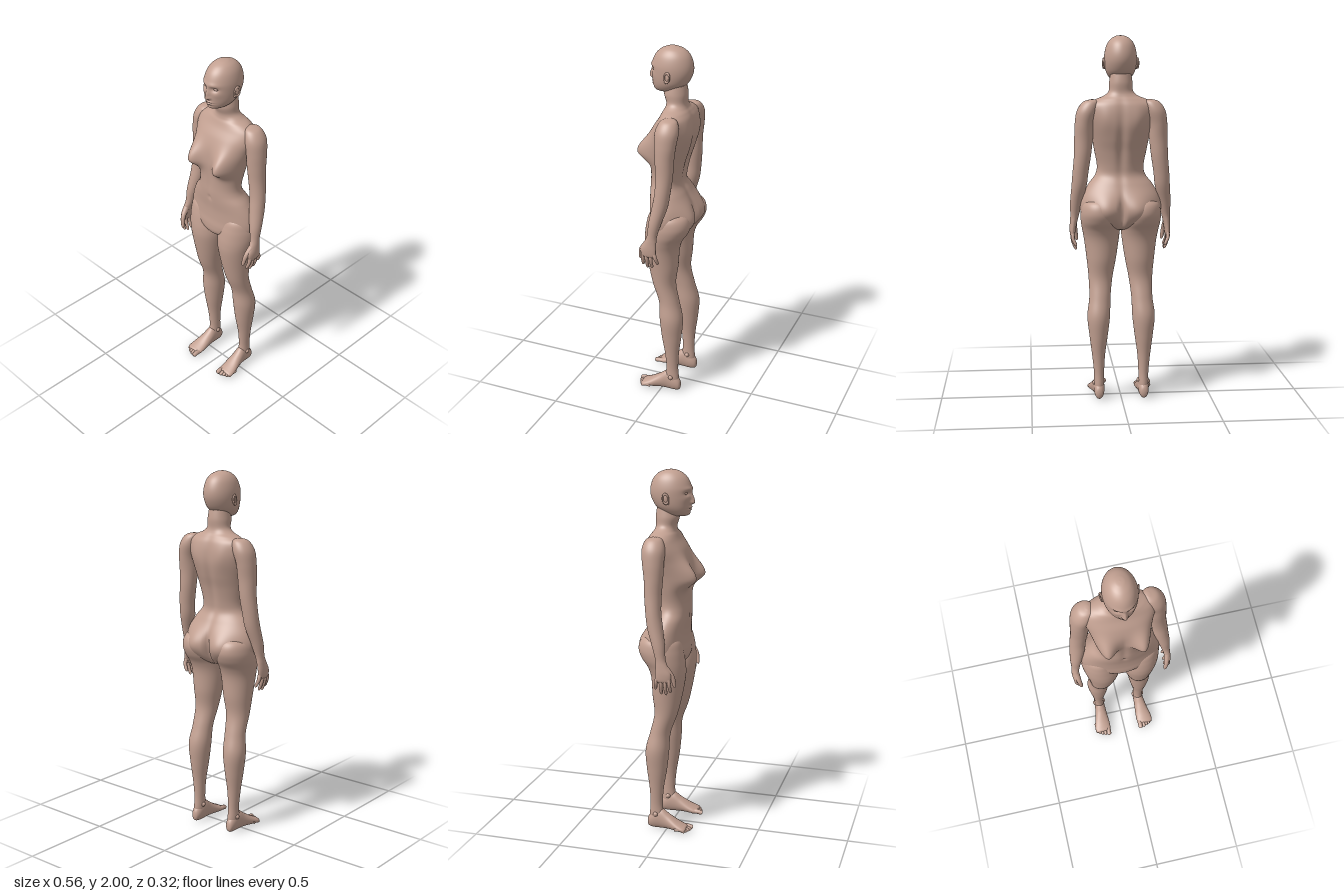
import * as THREE from 'three';

const skin = new THREE.MeshStandardMaterial({ color: 0xc2a091 });
skin.name = 'skin';

const bell = (d, s) => Math.exp(-(d * d) / (s * s));
// bell with different widths above and below its centre
const lobe = (d, up, down) => bell(d, d > 0 ? up : down);

function spline(a, b, c, d, t) {
  const m0 = (c - a) / 2, m1 = (d - b) / 2;
  return ((2 * b - 2 * c + m0 + m1) * t + (-3 * b + 3 * c - 2 * m0 - m1)) * t * t + m0 * t + b;
}

// Smooth closed loft. Row: [position on axis, minA, maxA, minB, maxB].
// Axis y: A = x, B = z.  Axis z: A = x, B = y.
function loft(name, rows, { segs = 48, steps = 6, axis = 'y', bump = null } = {}) {
  const pos = [], index = [], last = rows.length - 1, rings = last * steps;
  const put = (t, a, b) => (axis === 'y' ? pos.push(a, t, b) : pos.push(a, b, t));
  const row = (i) => rows[Math.min(last, Math.max(0, i))];
  for (let r = 0; r <= rings; r++) {
    const i = Math.min(last - 1, Math.floor(r / steps)), f = r / steps - i;
    const [t, a0, a1, b0, b1] = rows[0].map((_, k) =>
      spline(row(i - 1)[k], row(i)[k], row(i + 1)[k], row(i + 2)[k], f));
    for (let s = 0; s < segs; s++) {
      const th = (s / segs) * Math.PI * 2, sn = Math.sin(th);
      const a = (a0 + a1) / 2 + ((a1 - a0) / 2) * Math.cos(th);
      const b = (b0 + b1) / 2 + ((b1 - b0) / 2) * sn;
      put(t, a, b + (bump ? bump(Math.abs(a), t, sn) : 0));
    }
  }
  const flip = (rows[0][0] > rows[last][0]) !== (axis === 'z');
  const tri = (a, b, c) => (flip ? index.push(a, c, b) : index.push(a, b, c));
  for (let r = 0; r < rings; r++) {
    for (let s = 0; s < segs; s++) {
      const a = r * segs + s, b = r * segs + ((s + 1) % segs);
      tri(a, a + segs, b);
      tri(b, a + segs, b + segs);
    }
  }
  // end caps
  for (const [ring, r] of [[0, rows[0]], [rings, rows[last]]]) {
    const c = pos.length / 3;
    put(r[0], (r[1] + r[2]) / 2, (r[3] + r[4]) / 2);
    for (let s = 0; s < segs; s++) {
      const a = ring * segs + s, b = ring * segs + ((s + 1) % segs);
      if (ring) tri(c, b, a); else tri(c, a, b);
    }
  }
  const g = new THREE.BufferGeometry();
  g.setAttribute('position', new THREE.Float32BufferAttribute(pos, 3));
  g.setIndex(index);
  g.computeVertexNormals();
  return part(name, g);
}

function part(name, geometry) {
  const mesh = new THREE.Mesh(geometry, skin);
  mesh.name = name;
  return mesh;
}

// Finger or toe: a tapering tube with a rounded tip
function digit(name, points, r0, r1) {
  const curve = new THREE.CatmullRomCurve3(points.map((p) => new THREE.Vector3(...p)));
  const n = 20, g = new THREE.TubeGeometry(curve, n, 1, 10);
  const p = g.attributes.position, v = new THREE.Vector3();
  for (let i = 0; i < p.count; i++) {
    const u = Math.floor(i / 11) / n, c = curve.getPointAt(u);
    const tip = u > 0.8 ? Math.sqrt(Math.max(0, 1 - ((u - 0.8) / 0.2) ** 2)) : 1;
    v.fromBufferAttribute(p, i).sub(c).multiplyScalar((r0 + (r1 - r0) * u) * tip).add(c);
    p.setXYZ(i, v.x, v.y, v.z);
  }
  return part(name, g);
}

const centred = (rows) => rows.map(([y, w, zf, zb]) => [y, -w, w, zb, zf]);
const sided = (rows, m) => rows.map(([t, a0, a1, b0, b1]) =>
  (m > 0 ? [t, a0, a1, b0, b1] : [t, -a1, -a0, b0, b1]));

// Relief of the chest, back and seat
function torsoRelief(x, y, sn) {
  const w = Math.sqrt(Math.abs(sn));
  if (sn > 0) {
    return w * (0.093 * bell(x - 0.107, 0.056) * lobe(y - 1.435, 0.085, 0.05)
      - 0.006 * bell(x, 0.02) * bell(y - 1.3, 0.1)
      - 0.006 * bell(x, 0.009) * bell(y - 1.215, 0.012));
  }
  return w * (-0.047 * bell(x - 0.095, 0.085) * bell(y - 1.065, 0.085)
    + 0.03 * bell(x, 0.014) * bell(y - 1.04, 0.075)
    + 0.014 * bell(x, 0.025) * bell(y - 1.42, 0.2)
    - 0.008 * bell(x - 0.09, 0.04) * bell(y - 1.56, 0.07));
}

// Relief of the face
function faceRelief(x, y, sn) {
  if (sn <= 0) return 0;
  return Math.sqrt(sn) * (0.021 * bell(x, 0.011) * lobe(y - 1.828, 0.042, 0.009)
    + 0.007 * bell(x - 0.012, 0.007) * bell(y - 1.829, 0.008)
    + 0.005 * bell(x - 0.03, 0.03) * bell(y - 1.9, 0.012)
    - 0.014 * bell(x - 0.034, 0.019) * bell(y - 1.878, 0.013)
    + 0.004 * bell(x - 0.05, 0.02) * bell(y - 1.85, 0.02)
    + 0.009 * bell(x, 0.022) * (bell(y - 1.804, 0.006) + bell(y - 1.791, 0.006))
    - 0.004 * bell(x, 0.025) * bell(y - 1.7975, 0.003)
    + 0.006 * bell(x, 0.022) * bell(y - 1.768, 0.01));
}

function createModel() {
  const model = new THREE.Group();
  model.name = 'figure';

  model.add(loft('head', centred([
    [2.0, 0.003, -0.009, -0.015], [1.996, 0.026, 0.018, -0.042], [1.98, 0.053, 0.053, -0.08],
    [1.95, 0.074, 0.082, -0.108], [1.905, 0.086, 0.1, -0.123], [1.86, 0.087, 0.1, -0.121],
    [1.815, 0.08, 0.097, -0.1], [1.785, 0.066, 0.092, -0.07], [1.766, 0.047, 0.084, -0.04],
    [1.757, 0.026, 0.07, -0.01], [1.755, 0.008, 0.04, 0.015],
  ]), { segs: 128, steps: 11, bump: faceRelief }));

  model.add(loft('torso', centred([
    [1.8, 0.055, 0.02, -0.088], [1.75, 0.063, 0.033, -0.095], [1.705, 0.066, 0.02, -0.093],
    [1.68, 0.092, 0.02, -0.1], [1.66, 0.14, 0.028, -0.113], [1.63, 0.182, 0.042, -0.128],
    [1.58, 0.188, 0.072, -0.137], [1.52, 0.173, 0.092, -0.137], [1.45, 0.155, 0.098, -0.122],
    [1.38, 0.142, 0.1, -0.1], [1.3, 0.128, 0.1, -0.083], [1.25, 0.137, 0.1, -0.08],
    [1.2, 0.175, 0.096, -0.1], [1.14, 0.208, 0.09, -0.122], [1.08, 0.222, 0.09, -0.13],
    [1.03, 0.21, 0.094, -0.125], [0.99, 0.15, 0.09, -0.11], [0.96, 0.06, 0.065, -0.08],
    [0.945, 0.01, 0.01, -0.03],
  ]), { segs: 112, steps: 7, bump: torsoRelief }));

  for (const [m, side] of [[1, 'left'], [-1, 'right']]) {
    const pt = (x, y, z) => [m * x, y, z];

    // Eyelids
    const eye = part(side + 'Eye', new THREE.SphereGeometry(0.012, 20, 14));
    eye.scale.set(1.15, 0.6, 0.8);
    eye.position.set(m * 0.034, 1.878, 0.077);
    model.add(eye);

    // Ear: bowl, rim and lobe
    const ear = new THREE.Group();
    ear.name = side + 'Ear';
    const bowl = part('earBowl', new THREE.SphereGeometry(0.02, 20, 14));
    bowl.scale.set(0.4, 1.3, 0.8);
    const rim = part('earRim', new THREE.TorusGeometry(0.018, 0.005, 10, 28));
    rim.rotation.y = Math.PI / 2;
    rim.scale.set(0.85, 1.35, 1);
    rim.position.x = m * 0.005;
    const lobeEnd = part('earLobe', new THREE.SphereGeometry(0.008, 12, 10));
    lobeEnd.position.set(0, -0.026, 0.008);
    ear.add(bowl, rim, lobeEnd);
    ear.position.set(m * 0.087, 1.853, -0.017);
    ear.rotation.set(-0.12, -m * 0.2, 0);
    model.add(ear);

    // Arm and palm, from centres and radii
    const arm = [
      [1.662, 0.155, -0.058, 0.008, 0.012], [1.648, 0.164, -0.057, 0.042, 0.044],
      [1.6, 0.183, -0.055, 0.056, 0.062], [1.53, 0.199, -0.052, 0.051, 0.058],
      [1.45, 0.203, -0.049, 0.05, 0.051], [1.36, 0.209, -0.05, 0.046, 0.046],
      [1.27, 0.22, -0.045, 0.043, 0.042], [1.19, 0.228, -0.033, 0.041, 0.042],
      [1.1, 0.243, -0.011, 0.033, 0.035], [1.03, 0.251, 0.002, 0.024, 0.028],
      [0.99, 0.257, 0.011, 0.02, 0.034], [0.95, 0.262, 0.02, 0.017, 0.043],
      [0.915, 0.263, 0.02, 0.013, 0.042], [0.902, 0.262, 0.02, 0.006, 0.034],
    ].map(([y, x, z, rx, rz]) => [y, x - rx, x + rx, z - rz, z + rz]);
    model.add(loft(side + 'Arm', sided(arm, m), { segs: 40 }));

    // Fingers: base z, tip y, tip z
    [[0.05, 0.845, 0.057], [0.03, 0.829, 0.032], [0.009, 0.832, 0.006], [-0.012, 0.858, -0.027]]
      .forEach(([z, ty, tz], i) => model.add(digit(side + 'Finger' + (i + 1), [
        pt(0.262, 0.925, z), pt(0.262, (0.925 + ty) / 2 + 0.008, (z + tz) / 2), pt(0.243, ty, tz),
      ], 0.0115, 0.008)));
    model.add(digit(side + 'Thumb', [
      pt(0.256, 0.985, 0.03), pt(0.247, 0.935, 0.066), pt(0.236, 0.872, 0.079),
    ], 0.017, 0.009));

    model.add(loft(side + 'Leg', sided([
      [1.135, 0.07, 0.16, -0.09, 0.03], [1.1, 0.03, 0.205, -0.143, 0.07],
      [1.05, 0.012, 0.219, -0.158, 0.086], [1.0, 0.004, 0.219, -0.142, 0.095],
      [0.95, 0.003, 0.211, -0.109, 0.1], [0.89, 0.009, 0.2, -0.09, 0.098],
      [0.785, 0.025, 0.187, -0.083, 0.08], [0.68, 0.045, 0.177, -0.072, 0.055],
      [0.573, 0.058, 0.175, -0.095, 0.018], [0.47, 0.062, 0.187, -0.12, 0.011],
      [0.36, 0.075, 0.176, -0.114, 0.0], [0.25, 0.09, 0.162, -0.1, -0.018],
      [0.15, 0.096, 0.152, -0.095, -0.026], [0.08, 0.096, 0.152, -0.1, -0.02],
      [0.03, 0.102, 0.146, -0.098, -0.03],
    ], m), { segs: 56 }));

    // Ankle bones
    for (const [x, y] of [[0.1, 0.1], [0.148, 0.09]]) {
      const bone = part(side + 'AnkleBone', new THREE.SphereGeometry(0.014, 16, 12));
      bone.position.set(m * x, y, -0.06);
      model.add(bone);
    }

    model.add(loft(side + 'Foot', sided([
      [-0.112, 0.12, 0.13, 0.03, 0.045], [-0.105, 0.106, 0.144, 0.01, 0.07],
      [-0.08, 0.096, 0.152, 0.002, 0.1], [-0.035, 0.093, 0.155, 0.002, 0.122],
      [0.01, 0.09, 0.163, 0.004, 0.092], [0.06, 0.086, 0.176, 0.002, 0.06],
      [0.095, 0.086, 0.181, 0.001, 0.042], [0.112, 0.092, 0.176, 0.005, 0.034],
      [0.118, 0.105, 0.165, 0.012, 0.027],
    ], m), { segs: 40, axis: 'z' }));

    // Toes, big toe innermost
    [0.146, 0.142, 0.135, 0.127, 0.117].forEach((tz, i) => {
      const x = [0.102, 0.124, 0.141, 0.157, 0.17][i], r = i ? 0.01 : 0.014;
      model.add(digit(side + 'Toe' + (i + 1), [
        pt(x, 0.02, tz - 0.06), pt(x, 0.02, tz - 0.025), pt(x, r, tz),
      ], r, r * 0.95));
    });
  }
  return model;
}

export { createModel };
